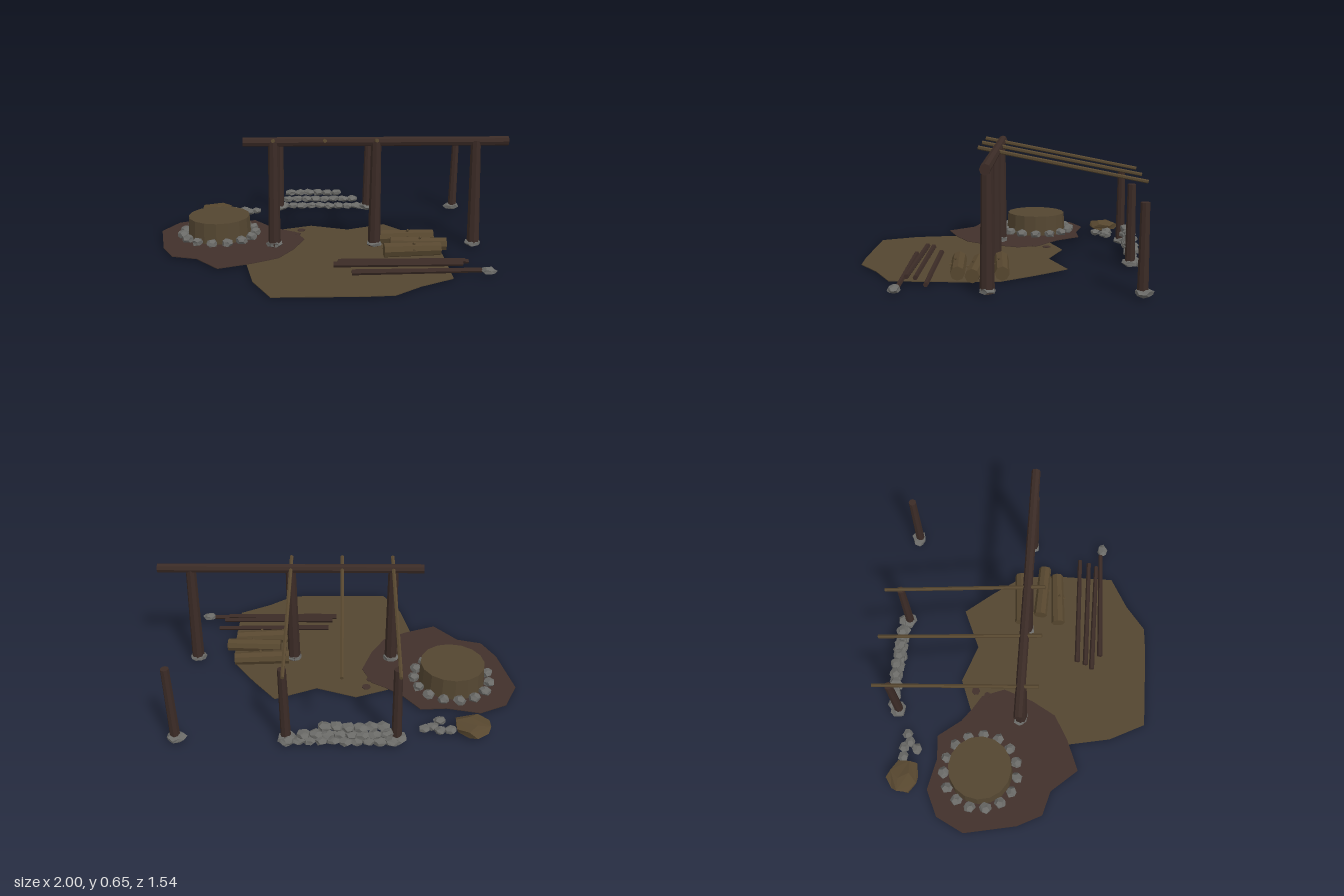
import * as THREE from 'three';

function material(name, color) {
  const m = new THREE.MeshStandardMaterial({ color, flatShading: true });
  m.name = name;
  return m;
}

export function createModel() {
  const model = new THREE.Group();
  model.name = 'shelterFrame';
  const darkWood = material('dark wood', 0x3b2b26);
  const paleWood = material('pale wood', 0x57472f);
  const mud = material('dark mud', 0x41312b);
  const earth = material('earth', 0x544631);
  const stone = material('grey stone', 0x6a6a67);

  let seed = 7;
  const rand = () => (seed = (seed * 16807) % 2147483647) / 2147483647;

  function add(name, geometry, mat, parent = model) {
    const mesh = new THREE.Mesh(geometry, mat);
    mesh.name = name;
    parent.add(mesh);
    return mesh;
  }

  function group(name) {
    const g = new THREE.Group();
    g.name = name;
    model.add(g);
    return g;
  }

  // Round timber between two points
  function pole(name, a, b, r0, r1, mat, parent, sides = 8) {
    const from = new THREE.Vector3(...a), to = new THREE.Vector3(...b);
    const dir = to.clone().sub(from);
    const mesh = add(name, new THREE.CylinderGeometry(r1, r0, dir.length(), sides), mat, parent);
    mesh.position.copy(from).add(to).multiplyScalar(0.5);
    mesh.quaternion.setFromUnitVectors(new THREE.Vector3(0, 1, 0), dir.normalize());
    return mesh;
  }

  // Faceted rock: matching corners move together
  function rock(name, x, y, z, rx, ry, rz, parent, mat = stone) {
    const geo = new THREE.DodecahedronGeometry(1, 0);
    const p = geo.attributes.position;
    const moved = new Map();
    for (let i = 0; i < p.count; i++) {
      const key = [p.getX(i), p.getY(i), p.getZ(i)].map(v => Math.round(v * 100)).join();
      if (!moved.has(key)) moved.set(key, 0.88 + rand() * 0.24);
      const s = moved.get(key);
      p.setXYZ(i, p.getX(i) * s, p.getY(i) * s, p.getZ(i) * s);
    }
    geo.rotateY(rand() * 6.28);
    geo.scale(rx, ry, rz);
    geo.computeVertexNormals();
    add(name, geo, mat, parent).position.set(x, y, z);
  }

  // Flat ground patch from an outline of x, z pairs
  function patch(name, outline, y, mat) {
    const shape = new THREE.Shape(outline.map(([x, z]) => new THREE.Vector2(x, -z)));
    const geo = new THREE.ExtrudeGeometry(shape, { depth: 0.004, bevelEnabled: false });
    add(name, geo.rotateX(-Math.PI / 2), mat).position.y = y;
  }

  patch('earthPatch', [[-0.28, -0.26], [-0.1, -0.33], [0.12, -0.25], [0.35, -0.35], [0.48, -0.19],
    [0.61, -0.01], [0.63, 0.2], [0.63, 0.55], [0.45, 0.65], [0.31, 0.76], [0.16, 0.77], [-0.3, 0.77],
    [-0.4, 0.57], [-0.45, 0.32], [-0.4, 0.05]], 0.002, earth);
  patch('mudPatch', [[-1, -0.24], [-0.92, -0.4], [-0.77, -0.47], [-0.59, -0.43], [-0.45, -0.44],
    [-0.35, -0.31], [-0.27, -0.25], [-0.19, -0.2], [-0.14, -0.07], [-0.2, 0.1], [-0.28, 0.24],
    [-0.42, 0.32], [-0.6, 0.39], [-0.73, 0.24], [-0.87, 0.2], [-0.94, 0.06]], 0.005, mud);
  for (const [x, z, r] of [[-0.16, -0.24, 0.025], [-0.18, -0.17, 0.018]])
    add('mudSpot', new THREE.CylinderGeometry(r, r, 0.004, 7), mud).position.set(x, 0.008, z);

  // Posts with footing stones
  const posts = group('posts');
  for (const x of [-0.31, 0.26, 0.83]) {
    pole('frontPost', [x, 0.01, 0.04], [x + (x > 0.5 ? -0.012 : 0.004), 0.62, 0.04], 0.036, 0.028, darkWood, posts);
    rock('frontFooting', x, 0.022, 0.04, 0.048, 0.023, 0.046, posts);
    pole('backPost', [x + 0.005, 0.01, -0.685], [x + 0.012, 0.45, -0.685], 0.027, 0.022, darkWood, posts);
    rock('backFooting', x, 0.022, -0.69, 0.052, 0.023, 0.048, posts);
  }

  // Roof beam and sloping rafters
  const roof = group('roof');
  pole('beam', [-0.475, 0.615, 0.036], [1, 0.615, 0.036], 0.026, 0.026, darkWood, roof);
  for (const x of [-0.305, -0.022, 0.262])
    pole('rafter', [x, 0.639, 0.13], [x, 0.462, -0.772], 0.011, 0.01, paleWood, roof, 6);

  // Round mound with a ring of stones
  const mound = group('mound');
  add('moundCore', new THREE.CylinderGeometry(0.18, 0.187, 0.13, 16), earth, mound)
    .position.set(-0.645, 0.065, -0.17);
  for (let i = 0; i < 15; i++) {
    const a = (i / 15) * Math.PI * 2;
    rock('ringStone', -0.645 + Math.cos(a) * 0.213, 0.025, -0.17 + Math.sin(a) * 0.213,
      0.034, 0.026, 0.034, mound);
  }

  // Low dry stone wall, shorter towards the top
  const wall = group('stoneWall');
  [[10, 0.022, -0.28], [8, 0.068, -0.25], [6, 0.113, -0.235]].forEach(([count, y, x0]) => {
    for (let i = 0; i < count; i++)
      rock('wallStone', x0 + i * 0.06, y, -0.712 + (rand() - 0.5) * 0.015, 0.038, 0.021, 0.036, wall);
  });

  // Loose rocks
  const loose = group('looseRocks');
  rock('boulder', -0.71, 0.033, -0.61, 0.108, 0.034, 0.095, loose, paleWood);
  for (const [x, z] of [[-0.59, -0.625], [-0.535, -0.628], [-0.54, -0.55], [-0.5, -0.595], [-0.455, -0.615]])
    rock('looseStone', x, 0.02, z, 0.034, 0.02, 0.03, loose);
  rock('endStone', 0.825, 0.02, 0.485, 0.042, 0.02, 0.032, loose);

  // Thick logs with knots
  const logs = group('logs');
  for (const [x0, z0, x1, z1] of [[0.29, 0.005, 0.605, -0.018], [0.345, 0.115, 0.66, 0.128], [0.3, 0.228, 0.615, 0.205]]) {
    pole('log', [x0, 0.043, z0], [x1, 0.043, z1], 0.041, 0.037, paleWood, logs);
    const x = (x0 + x1) / 2, z = (z0 + z1) / 2;
    pole('knot', [x, 0.06, z], [x + 0.01, 0.088, z + 0.015], 0.01, 0.007, paleWood, logs, 5);
    pole('knot', [x, 0.05, z], [x + 0.01, 0.052, z + 0.046], 0.01, 0.007, paleWood, logs, 5);
  }

  // Thin spare poles
  const poles = group('sparePoles');
  for (const [x0, z0, x1, z1, y] of [[0.065, 0.357, 0.745, 0.345, 0.02], [0.04, 0.405, 0.715, 0.4, 0.046],
    [0.015, 0.443, 0.695, 0.447, 0.046], [0.11, 0.492, 0.79, 0.474, 0.02]])
    pole('sparePole', [x0, y, z0], [x1, y, z1], 0.016, 0.013, darkWood, poles, 6);

  return model;
}
